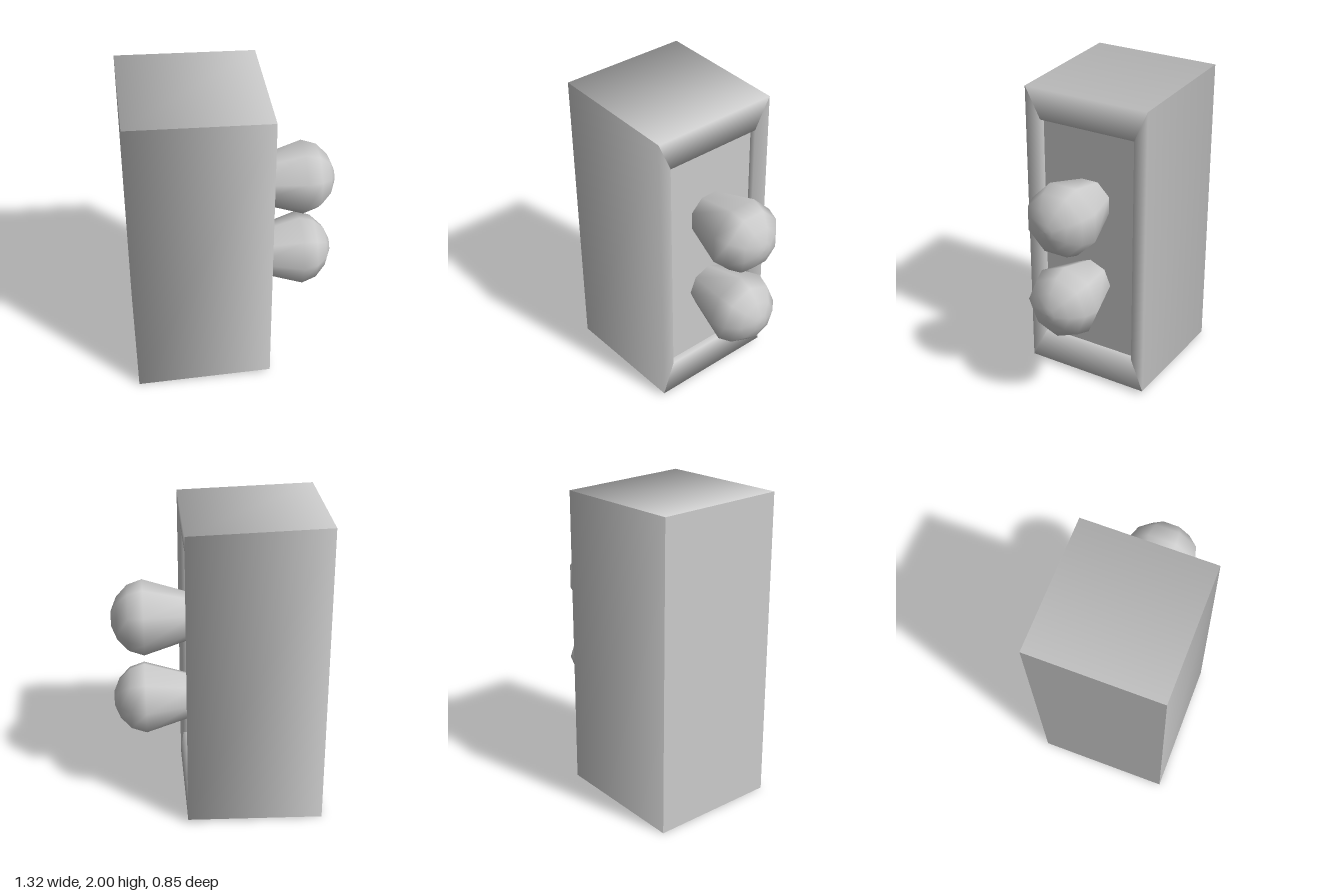
import * as THREE from 'three';

const material = new THREE.MeshStandardMaterial({ color: 0xcccccc });

function addMesh(parent, name, geometry) {
  const mesh = new THREE.Mesh(geometry, material);
  mesh.name = name;
  parent.add(mesh);
  return mesh;
}

// Housing profile from back to front: x, half height, half depth,
// then the normal as (along x, outward from the axis)
const PROFILE = [
  [-0.66, 1, 0.425, -0.7, 0.7],
  [0.215, 0.975, 0.425, 0.7, 0.7],
  [0.2, 0.768, 0.33, 0.7, -0.7],
  [0.16, 0.768, 0.33, 0, -1],
];

// Rectangular shell: smooth along the profile, sharp at its four corners
function shellGeometry() {
  const corners = [[1, 1], [1, -1], [-1, -1], [-1, 1]]; // signs of y and z
  const outward = [[1, 0], [0, -1], [-1, 0], [0, 1]];
  const positions = [], normals = [], indices = [];
  for (let side = 0; side < 4; side++) {
    const base = positions.length / 3;
    const [oy, oz] = outward[side];
    PROFILE.forEach(([x, h, d, nx, n], row) => {
      for (const [sy, sz] of [corners[side], corners[(side + 1) % 4]]) {
        positions.push(x, 1 + sy * h, sz * d);
        const v = new THREE.Vector3(nx, n * oy, n * oz).normalize();
        normals.push(v.x, v.y, v.z);
      }
      if (row < PROFILE.length - 1) {
        const a = base + row * 2;
        indices.push(a, a + 2, a + 3, a, a + 3, a + 1);
      }
    });
  }
  const geometry = new THREE.BufferGeometry();
  geometry.setAttribute('position', new THREE.Float32BufferAttribute(positions, 3));
  geometry.setAttribute('normal', new THREE.Float32BufferAttribute(normals, 3));
  geometry.setIndex(indices);
  return geometry;
}

// Flat upright panel facing +x (facing = 1) or -x (facing = -1)
function panelGeometry([x, h, d], facing) {
  return new THREE.PlaneGeometry(d * 2, h * 2)
    .rotateY(facing * Math.PI / 2)
    .translate(x, 1, 0);
}

// Eight-sided bulb with a conical neck, pointing along +x
function bulbGeometry(turn) {
  const points = [
    [0.148, 0.16], [0.24, 0.46], [0.208, 0.555], [0.135, 0.625], [0.05, 0.66], [0, 0.662],
  ].map(([r, x]) => new THREE.Vector2(r, x));
  return new THREE.LatheGeometry(points, 8).rotateY(turn).rotateZ(-Math.PI / 2);
}

export function createModel() {
  const model = new THREE.Group();
  model.name = 'twinLampBox';

  // Housing with sloping rim and recessed front
  const housing = new THREE.Group();
  housing.name = 'housing';
  addMesh(housing, 'shell', shellGeometry());
  addMesh(housing, 'backPanel', panelGeometry(PROFILE[0], -1));
  addMesh(housing, 'recessedPanel', panelGeometry(PROFILE[3], 1));
  model.add(housing);

  // Two bulbs, the upper one turned by half a facet
  addMesh(model, 'upperBulb', bulbGeometry(Math.PI / 8)).position.y = 1.285;
  addMesh(model, 'lowerBulb', bulbGeometry(0)).position.y = 0.715;

  return model;
}
